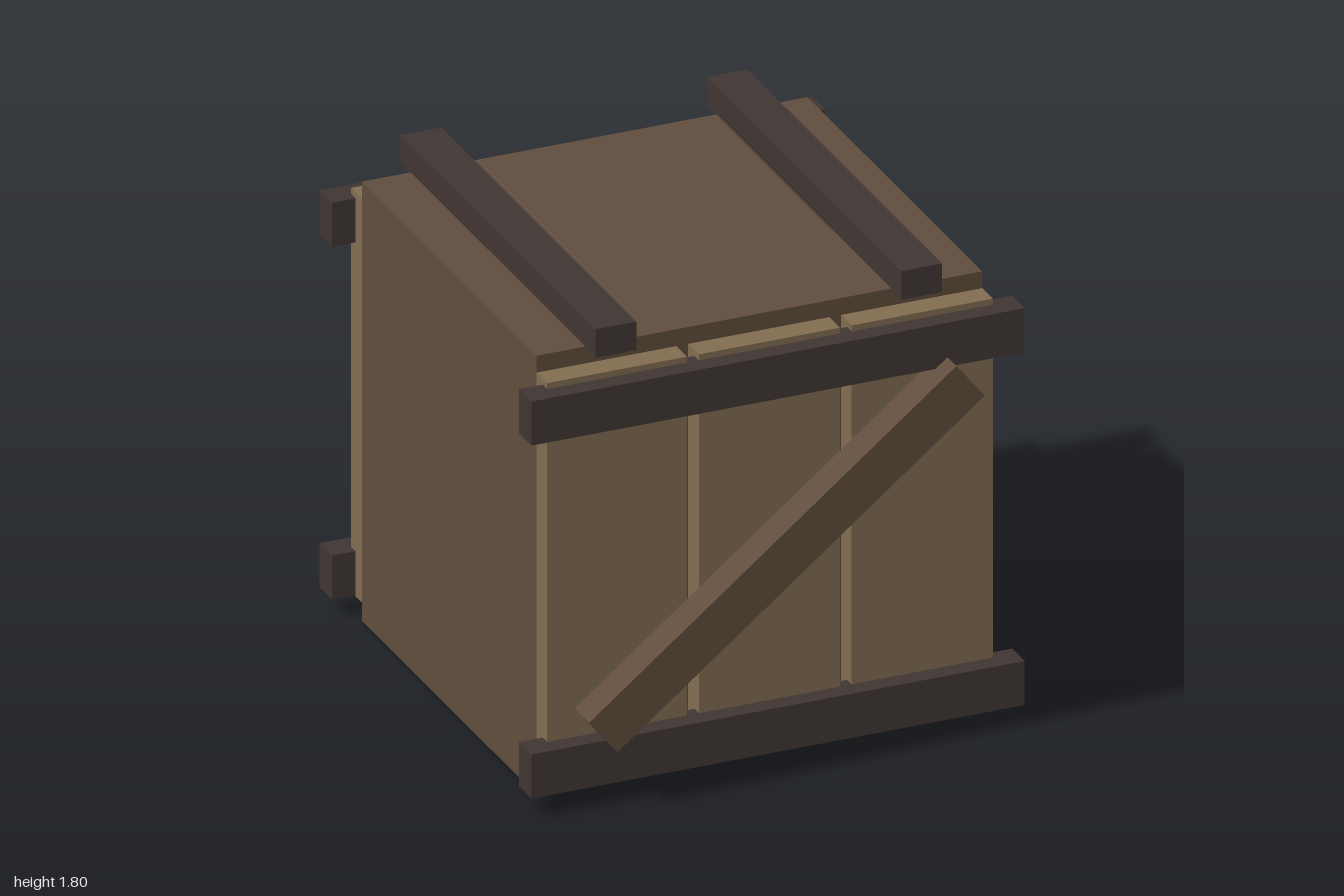
import * as THREE from 'three';

export function createModel() {
  const crate = new THREE.Group();
  crate.name = 'woodenCrate';

  const wood = (color) => new THREE.MeshStandardMaterial({ color, flatShading: true });
  const bodyWood = wood(0x604d3d);
  const plankWood = wood(0x826c50);
  const railWood = wood(0x403633);

  // Box spanning the given x, y and z ranges
  function beam(name, material, [x0, x1], [y0, y1], [z0, z1]) {
    const mesh = new THREE.Mesh(new THREE.BoxGeometry(x1 - x0, y1 - y0, z1 - z0), material);
    mesh.position.set((x0 + x1) / 2, (y0 + y1) / 2, (z0 + z1) / 2);
    mesh.name = name;
    crate.add(mesh);
    return mesh;
  }

  beam('body', bodyWood, [-0.845, 0.845], [0, 1.695], [-0.76, 0.76]);

  // Front and back: three planks, two rails and a diagonal brace
  for (const [side, s] of [['front', 1], ['back', -1]]) {
    const depth = (near, far) => (s > 0 ? [near, far] : [-far, -near]);

    for (const span of [[-0.845, -0.315], [-0.27, 0.265], [0.31, 0.845]]) {
      beam(side + 'Plank', plankWood, span, [0.07, 1.63], depth(0.755, 0.852));
    }
    beam(side + 'LowerRail', railWood, [-0.935, 0.935], [0.075, 0.245], depth(0.813, 0.922));
    beam(side + 'UpperRail', railWood, [-0.935, 0.935], [1.437, 1.607], depth(0.813, 0.922));

    const brace = beam(side + 'Brace', bodyWood, [-0.89, 0.89], [0.767, 0.939], depth(0.873, 1));
    brace.rotation.z = THREE.MathUtils.degToRad(38.5);
  }

  // Lid battens
  for (const [name, span] of [['rightBatten', [-0.66, -0.505]], ['leftBatten', [0.5, 0.655]]]) {
    beam(name, railWood, span, [1.69, 1.8], [-0.847, 0.847]);
  }

  return crate;
}
